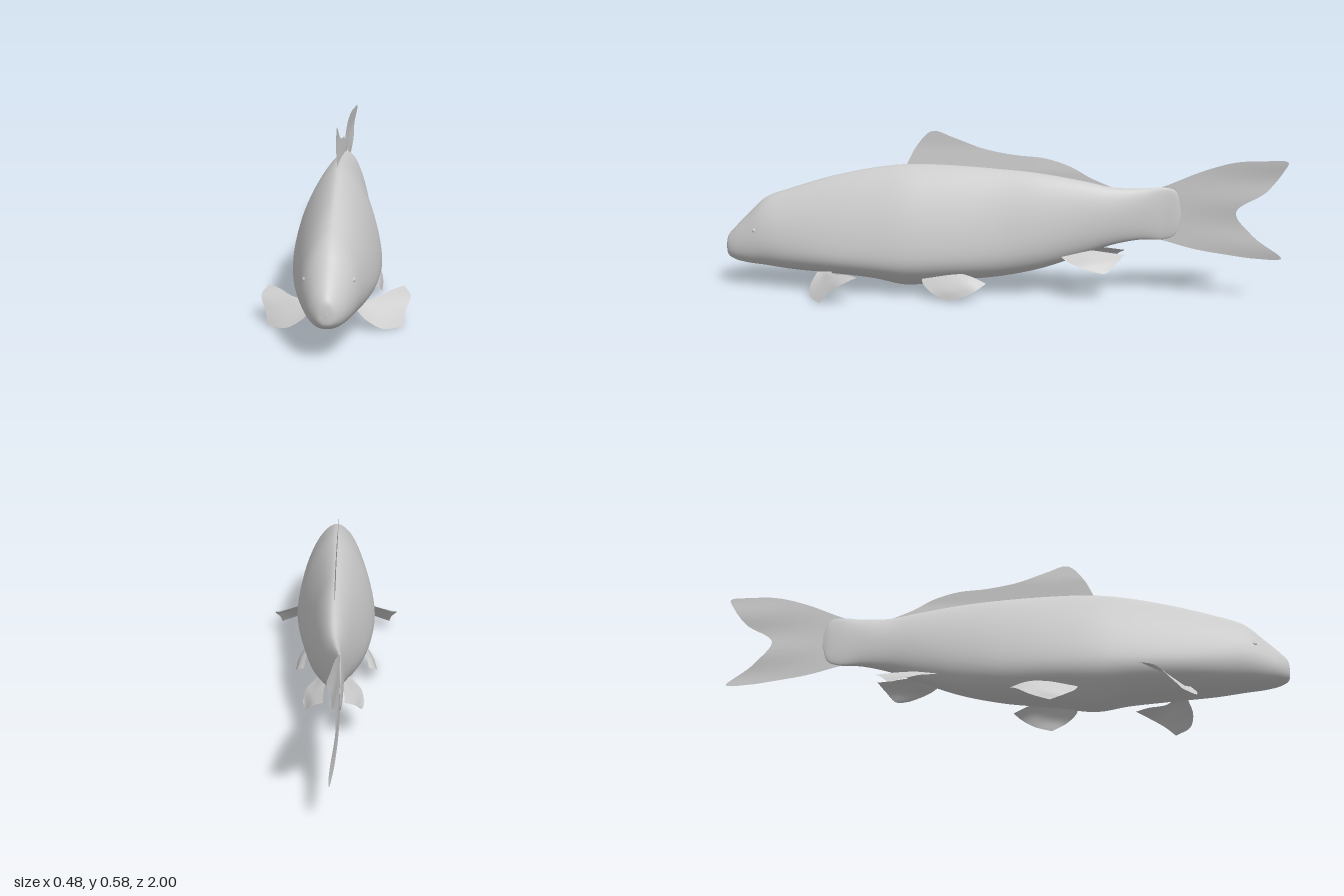
import * as THREE from 'three';

const V = (p) => new THREE.Vector3(...p);
const grey = new THREE.MeshStandardMaterial({ color: 0xcccccc });
const thin = new THREE.MeshStandardMaterial({ color: 0xcccccc, side: THREE.DoubleSide });

// Smooth surface through rows of points; closed rows wrap round into a tube.
function loft(rows, nu, nv, closed = false) {
  const curves = rows.map((r) => new THREE.CatmullRomCurve3(r, closed));
  const cols = closed ? nv : nv + 1;
  const pos = [], idx = [];
  for (let j = 0; j < cols; j++) {
    const across = new THREE.CatmullRomCurve3(curves.map((c) => c.getPoint(j / nv)));
    for (let i = 0; i <= nu; i++) pos.push(...across.getPoint(i / nu).toArray());
  }
  const at = (i, j) => (j % cols) * (nu + 1) + i;
  for (let j = 0; j < nv; j++) {
    for (let i = 0; i < nu; i++) {
      const a = at(i, j), b = at(i, j + 1), c = at(i + 1, j), d = at(i + 1, j + 1);
      idx.push(a, c, b, b, c, d);
    }
  }
  const g = new THREE.BufferGeometry();
  g.setAttribute('position', new THREE.Float32BufferAttribute(pos, 3));
  g.setIndex(idx);
  g.computeVertexNormals();
  return g;
}

// Body stations: z, top, bottom, half width, centre x, height of widest point (0..1), keel depth
const stations = [
  [1.0, 0.1455, 0.1445, 0.0005, -0.01, 0.5, 0],
  [0.995, 0.185, 0.113, 0.026, -0.01, 0.45, 0],
  [0.97, 0.215, 0.098, 0.048, -0.01, 0.42, 0],
  [0.92, 0.265, 0.088, 0.07, -0.008, 0.4, 0],
  [0.85, 0.33, 0.082, 0.091, -0.006, 0.37, 0],
  [0.75, 0.369, 0.074, 0.11, -0.003, 0.32, 0.003],
  [0.6, 0.416, 0.068, 0.131, 0, 0.26, 0.005],
  [0.45, 0.449, 0.058, 0.143, 0, 0.25, 0.01],
  [0.33, 0.464, 0.047, 0.147, 0, 0.26, 0.022],
  [0.18, 0.464, 0.057, 0.136, 0, 0.26, 0.01],
  [0, 0.455, 0.072, 0.112, 0.002, 0.28, 0.005],
  [-0.15, 0.442, 0.104, 0.088, 0.009, 0.33, 0.003],
  [-0.3, 0.418, 0.155, 0.06, 0.012, 0.4, 0],
  [-0.4, 0.398, 0.192, 0.041, 0.01, 0.45, 0],
  [-0.5, 0.394, 0.211, 0.024, 0.001, 0.5, 0],
  [-0.58, 0.398, 0.212, 0.012, -0.007, 0.5, 0],
  [-0.62, 0.385, 0.23, 0.007, -0.008, 0.5, 0],
  [-0.64, 0.32, 0.29, 0.001, -0.008, 0.5, 0],
];

// Egg-shaped section, narrow above, full below, with a keel along the belly
function section([z, top, bottom, w, cx, f, keel]) {
  const mid = bottom + (top - bottom) * f;
  const pts = [];
  for (let k = 0; k < 32; k++) {
    const a = (k / 32) * Math.PI * 2, c = Math.cos(a), s = Math.sin(a);
    const e = s > 0 ? 2 / (2 - (0.5 - f) * 1.7) : 0.86;
    const x = Math.sign(c) * Math.abs(c) ** e * w;
    const y = s > 0 ? s ** e * (top - mid) : -(Math.abs(s) ** e) * (mid - bottom) - keel * s ** 8;
    pts.push(new THREE.Vector3(cx + x, mid + y, z));
  }
  return pts;
}

// Upright fin between a base line and a margin, both given as z, y pairs
function uprightFin(base, margin, bend, nv) {
  const rows = [base, margin].map((r) => r.map(([z, y]) => V([0, y, z])));
  const g = loft(rows, 10, nv);
  const p = g.attributes.position;
  for (let i = 0; i < p.count; i++) p.setX(i, bend(p.getZ(i), p.getY(i)));
  g.computeVertexNormals();
  return g;
}

// Paired fins: each row is a ray from root to margin
const paired = {
  pectoralFin: [
    [[0.06, 0.078, 0.65], [0.1, 0.04, 0.668], [0.15, 0.01, 0.66], [0.215, 0.004, 0.612]],
    [[0.06, 0.08, 0.635], [0.11, 0.058, 0.63], [0.165, 0.045, 0.61], [0.222, 0.04, 0.575]],
    [[0.06, 0.082, 0.62], [0.12, 0.08, 0.595], [0.18, 0.082, 0.555], [0.24, 0.08, 0.525]],
    [[0.06, 0.082, 0.605], [0.13, 0.088, 0.575], [0.18, 0.099, 0.515], [0.22, 0.102, 0.474]],
  ],
  pelvicFin: [
    [[0.08, 0.1, 0.265], [0.108, 0.06, 0.262], [0.135, 0.03, 0.225], [0.147, 0.005, 0.17]],
    [[0.08, 0.1, 0.24], [0.11, 0.075, 0.21], [0.138, 0.05, 0.16], [0.15, 0.025, 0.105]],
    [[0.08, 0.1, 0.21], [0.105, 0.09, 0.17], [0.127, 0.075, 0.11], [0.142, 0.05, 0.06]],
    [[0.08, 0.1, 0.18], [0.095, 0.098, 0.15], [0.11, 0.088, 0.09], [0.118, 0.065, 0.035]],
  ],
  analFin: [
    [[0.03, 0.175, -0.2], [0.065, 0.15, -0.235], [0.094, 0.135, -0.28], [0.104, 0.117, -0.34]],
    [[0.03, 0.175, -0.23], [0.06, 0.155, -0.27], [0.085, 0.14, -0.32], [0.095, 0.112, -0.385]],
    [[0.025, 0.178, -0.26], [0.045, 0.168, -0.31], [0.065, 0.152, -0.37], [0.07, 0.143, -0.42]],
    [[0.02, 0.18, -0.29], [0.03, 0.176, -0.34], [0.035, 0.17, -0.4], [0.035, 0.165, -0.445]],
  ],
};

export function createModel() {
  const fish = new THREE.Group();
  fish.name = 'fish';
  const add = (name, geo, mat = grey) => {
    const m = new THREE.Mesh(geo, mat);
    m.name = name;
    fish.add(m);
    return m;
  };

  add('body', loft(stations.map(section), 102, 64, true));

  // Dorsal fin, rooted inside the back
  add('dorsalFin', uprightFin(
    [[0.33, 0.45], [0.28, 0.45], [0.23, 0.45], [0.15, 0.45], [0.05, 0.445], [-0.05, 0.44], [-0.15, 0.43], [-0.25, 0.415], [-0.32, 0.4], [-0.4, 0.385]],
    [[0.33, 0.465], [0.295, 0.53], [0.24, 0.583], [0.16, 0.56], [0.06, 0.525], [-0.05, 0.505], [-0.16, 0.495], [-0.25, 0.468], [-0.32, 0.43], [-0.4, 0.396]],
    (z, y) => 0.008 * Math.sin(3 * (0.25 - z)) - 0.008 * Math.min(1, Math.max(0, (y - 0.45) / 0.08)), 48), thin);

  // Forked tail fin, swept towards the left at the tips
  add('tailFin', uprightFin(
    [[-0.54, 0.39], [-0.57, 0.39], [-0.6, 0.38], [-0.61, 0.37], [-0.615, 0.36], [-0.62, 0.35], [-0.625, 0.33], [-0.625, 0.31],
      [-0.625, 0.29], [-0.62, 0.265], [-0.61, 0.245], [-0.6, 0.235], [-0.57, 0.225], [-0.54, 0.22]],
    [[-0.58, 0.4], [-0.7, 0.455], [-0.82, 0.494], [-0.92, 0.504], [-0.998, 0.503], [-0.985, 0.47], [-0.93, 0.395], [-0.828, 0.318],
      [-0.89, 0.235], [-0.988, 0.162], [-0.9, 0.156], [-0.8, 0.165], [-0.69, 0.18], [-0.57, 0.21]],
    (z, y) => {
      const t = Math.max(0, (-0.6 - z) / 0.4);
      return -0.008 + 0.012 * t + 0.025 * t * t + 0.004 * t * Math.sin(y * 40);
    }, 104), thin);

  // Mirrored fins and eyes
  for (const side of [1, -1]) {
    const label = side > 0 ? 'left' : 'right';
    for (const [name, rays] of Object.entries(paired)) {
      const shift = name === 'analFin' ? 0.011 : 0;
      const rows = rays.map((r) => r.map(([x, y, z]) => V([side * x + shift, y, z])));
      add(`${label} ${name}`, loft(rows, 14, 18), thin);
    }
    const eye = add(`${label} eye`, new THREE.SphereGeometry(0.008, 16, 12));
    eye.position.set(side * 0.071 - 0.007, 0.222, 0.878);
  }

  // Small puckered mouth
  const mouth = add('mouth', new THREE.TorusGeometry(0.008, 0.004, 8, 20));
  mouth.scale.set(1.2, 0.6, 1);
  mouth.position.set(-0.01, 0.124, 0.994);
  return fish;
}
